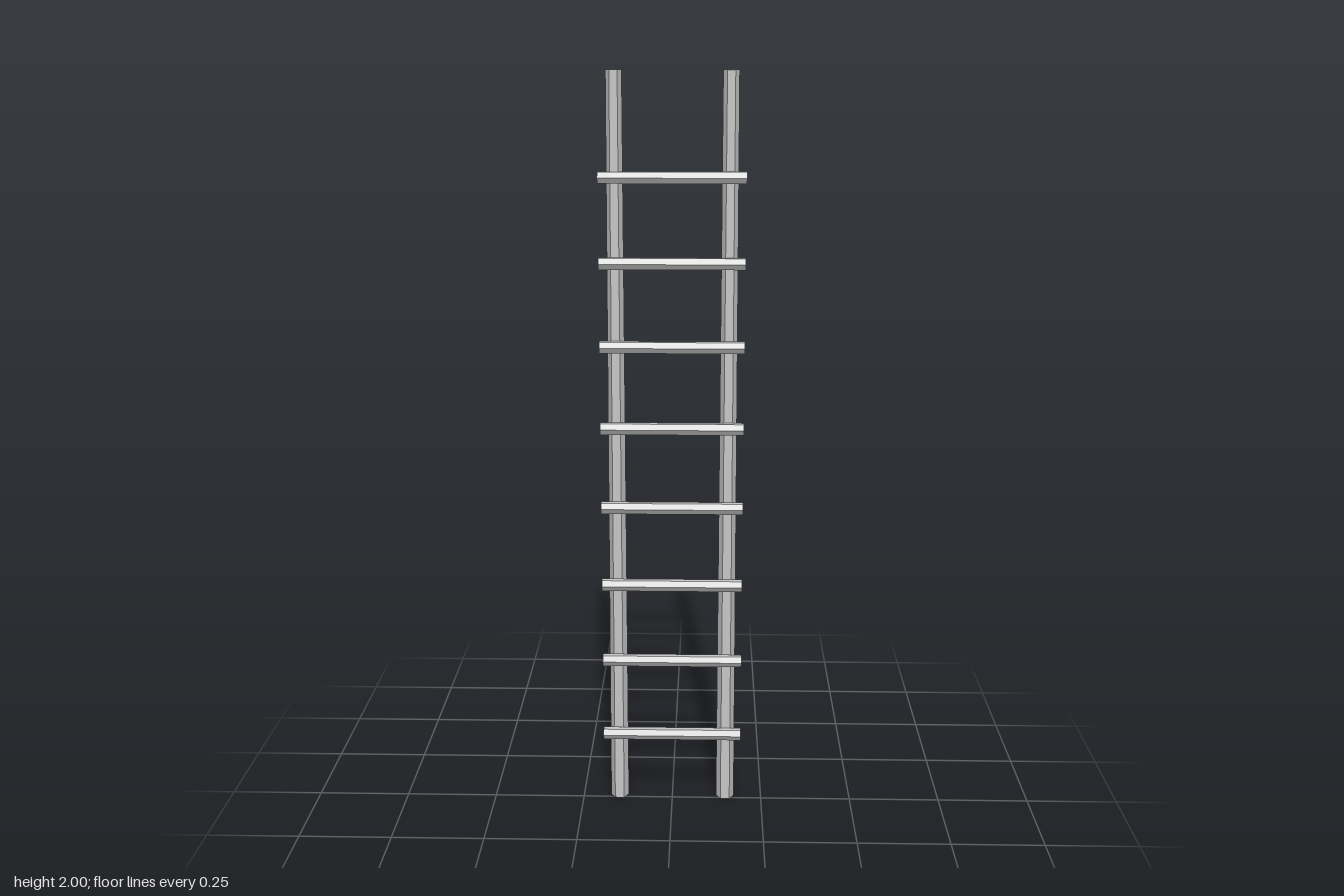
import * as THREE from 'three';

export function createModel() {
  const ladder = new THREE.Group();
  ladder.name = 'ladder';

  const grey = new THREE.MeshStandardMaterial({ color: 0xc6c6c6, flatShading: true });
  grey.name = 'lightGrey';

  // Two tapered six-sided rails, corners pointing sideways
  const railGeometry = new THREE.CylinderGeometry(0.0205, 0.025, 2, 6, 1, false, Math.PI / 6);
  for (const side of [1, -1]) {
    const rail = new THREE.Mesh(railGeometry, grey);
    rail.name = side > 0 ? 'leftRail' : 'rightRail';
    rail.position.set(side * 0.1485, 1, -0.0155);
    ladder.add(rail);
  }

  // Eight six-sided rungs across the front of the rails
  const rungGeometry = new THREE.CylinderGeometry(0.017, 0.017, 0.38, 6);
  rungGeometry.rotateZ(Math.PI / 2);
  for (let i = 0; i < 8; i++) {
    const rung = new THREE.Mesh(rungGeometry, grey);
    rung.name = `rung${i + 1}`;
    rung.position.set(0, 0.204 + i * 0.2187, 0.0185);
    ladder.add(rung);
  }

  return ladder;
}
